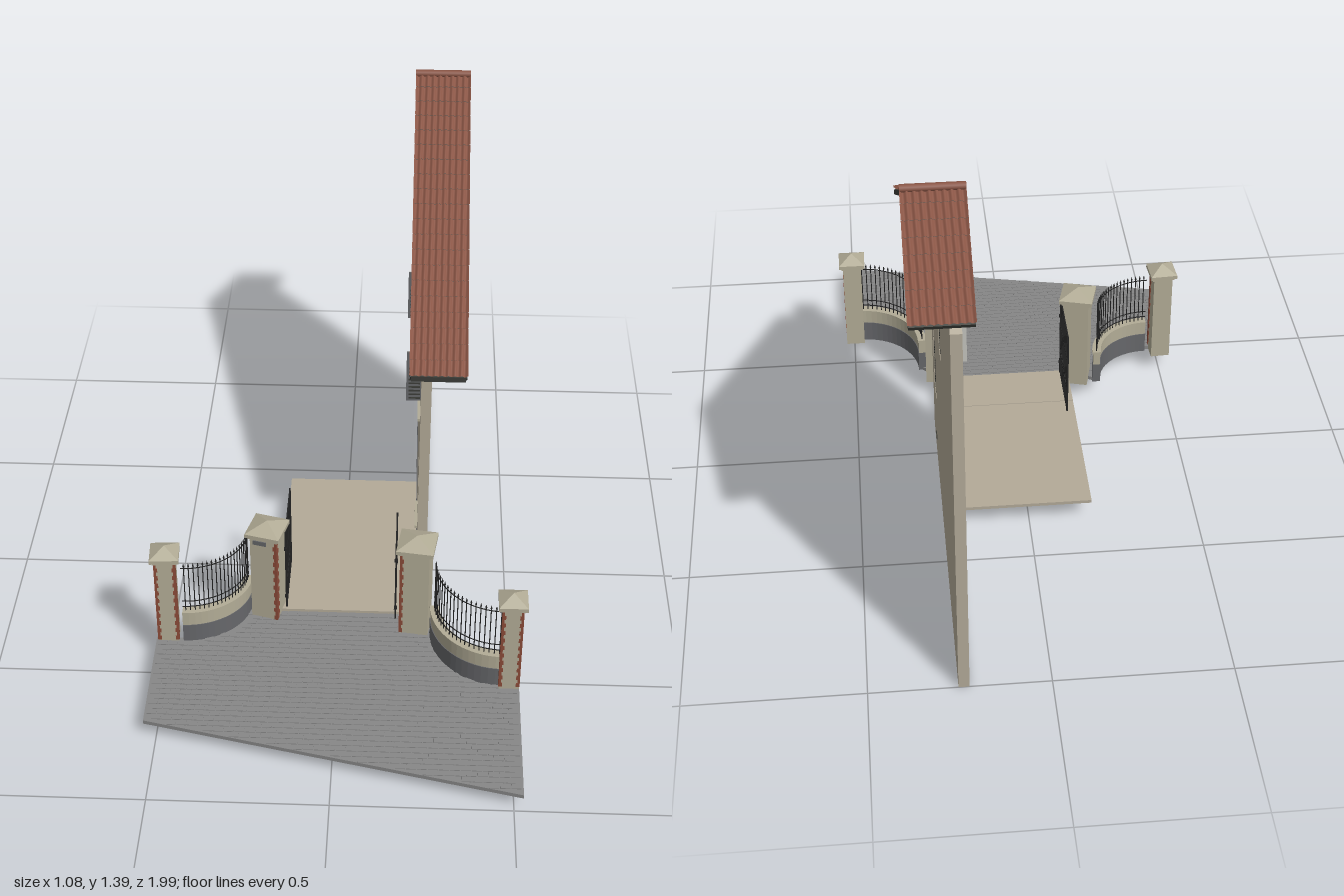
import * as THREE from 'three';
import { mergeGeometries } from 'three/addons/utils/BufferGeometryUtils.js';

const mat = (name, color, side = THREE.FrontSide) => {
  const m = new THREE.MeshStandardMaterial({ color, side });
  m.name = name;
  return m;
};

export function createModel() {
  const M = {
    wall: mat('plaster beige', 0xb3aa98),
    stone: mat('stone beige', 0xb2ac96),
    tile: mat('roof tile red', 0x8a5545, THREE.DoubleSide),
    brick: mat('brick red', 0x8a4a38),
    iron: mat('wrought iron', 0x232323),
    paving: mat('paving grey', 0x878787),
    plinth: mat('plinth grey', 0x66676a),
    shutter: mat('shutter dark', 0x3c3d38),
    wood: mat('window brown', 0x84442f),
    pale: mat('pale trim', 0xc4c4be),
  };
  const root = new THREE.Group();
  const group = (name, parent = root) => {
    const g = new THREE.Group();
    g.name = name;
    parent.add(g);
    return g;
  };
  const add = (parent, name, geo, m) => {
    const mesh = new THREE.Mesh(geo, m);
    mesh.name = name;
    parent.add(mesh);
    return mesh;
  };
  const boxGeo = (w, h, d, x, y, z) => new THREE.BoxGeometry(w, h, d).translate(x, y, z);
  const box = (p, name, m, ...a) => add(p, name, boxGeo(...a), m);
  // upright prism from a plan outline of [x, z] points
  const prism = (pts, y, h) => {
    const s = new THREE.Shape(pts.map(([x, z]) => new THREE.Vector2(x, -z)));
    return new THREE.ExtrudeGeometry(s, { depth: h, bevelEnabled: false }).rotateX(-Math.PI / 2).translate(0, y, 0);
  };

  // ---- House gable wall with window openings
  const house = group('house');
  const windows = [
    { z0: -0.01, z1: 0.08, y0: 0.64, y1: 0.82, open: true },
    { z0: -0.43, z1: -0.34, y0: 0.66, y1: 0.835, open: true },
    { z0: -0.045, z1: 0.07, y0: 0.235, y1: 0.44, open: false },
  ];
  const gable = new THREE.Shape([[0.155, 0], [0.155, 0.86], [-0.67, 1.36], [-1, 1.17], [-1, 0]]
    .map(([z, y]) => new THREE.Vector2(z, y)));
  for (const w of windows) {
    gable.holes.push(new THREE.Path([[w.z0, w.y0], [w.z0, w.y1], [w.z1, w.y1], [w.z1, w.y0]]
      .map(([z, y]) => new THREE.Vector2(z, y))));
  }
  add(house, 'gableWall', new THREE.ExtrudeGeometry(gable, { depth: 0.03, bevelEnabled: false })
    .rotateY(-Math.PI / 2).translate(0.255, 0, 0), M.wall);
  box(house, 'basePlinth', M.plinth, 0.004, 0.045, 0.9, 0.2245, 0.0625, -0.3);
  box(house, 'vent', M.shutter, 0.004, 0.008, 0.035, 0.2555, 0.086, -0.018);

  // ---- Windows: louvred shutters outside, brown frames inside
  for (const w of windows) {
    const g = group('window', house);
    const h = w.y1 - w.y0, d = w.z1 - w.z0, y = (w.y0 + w.y1) / 2, z = (w.z0 + w.z1) / 2;
    for (const s of [-1, 1]) {
      box(g, 'shutterLeaf', M.shutter, 0.005, h, d / 2 - 0.001, 0.249, y, z + s * d / 4);
      box(g, 'frameSide', M.wood, 0.01, h, 0.008, 0.236, y, z + s * (d / 2 - 0.004));
      box(g, 'frameRail', M.wood, 0.01, 0.008, d, 0.236, y + s * (h / 2 - 0.004), z);
    }
    const slats = [];
    for (let i = 0; i < 14; i++) slats.push(boxGeo(0.003, h / 30, d - 0.012, 0.252, w.y0 + (i + 0.5) * h / 14, z));
    add(g, 'shutterSlats', mergeGeometries(slats), M.shutter);
    box(g, 'closedSash', M.wood, 0.006, h, w.open ? d / 2 : d, 0.24, y, w.open ? z + d / 4 : z);
    box(g, 'windowSill', M.stone, 0.012, 0.008, d + 0.01, 0.223, w.y0 - 0.004, z);
    if (w.open) {
      // sash swung open at a right angle to the wall
      box(g, 'openSash', M.pale, 0.044, h - 0.01, 0.003, 0.204, y, w.z0 + 0.004);
      box(g, 'openSashFace', M.plinth, 0.044, h - 0.01, 0.003, 0.204, y, w.z0 + 0.007);
      for (let i = 0; i < 9; i++) box(g, 'sashSlat', M.shutter, 0.034, 0.005, 0.002, 0.206, w.y0 + 0.015 + i * 0.013, w.z0 + 0.009);
    }
  }

  // ---- Roof: dark deck with corrugated, overlapping tile courses
  const roof = group('roof');
  const X0 = 0.19, X1 = 0.355, XC = (X0 + X1) / 2, W = X1 - X0;
  const slope = (name, eave, ridge, courses) => {
    const dz = ridge[0] - eave[0], dy = ridge[1] - eave[1], len = Math.hypot(dz, dy);
    const g = group(name, roof);
    const n = [-dy / len * Math.sign(dz), Math.abs(dz) / len];
    const strips = [];
    for (let c = 0; c < courses; c++) {
      const geo = new THREE.PlaneGeometry(W, 1, 54, 1);
      const p = geo.attributes.position;
      for (let i = 0; i < p.count; i++) {
        const x = p.getX(i), up = p.getY(i) > 0 ? 1 : 0;
        const t = (c + up * 1.05) / courses;
        const lift = 0.003 * Math.cos((x / W + 0.5) * Math.PI * 18) + (up ? -0.003 : 0.003);
        p.setXYZ(i, XC + x, eave[1] + dy * t + n[1] * lift, eave[0] + dz * t + n[0] * lift);
      }
      if (dz > 0) geo.index.array.reverse();
      geo.computeVertexNormals();
      strips.push(geo);
    }
    add(g, 'tileCourses', mergeGeometries(strips), M.tile);
    const deck = box(g, 'roofDeck', M.shutter, W - 0.004, 0.014, len, 0, 0, 0);
    deck.position.set(XC, (eave[1] + ridge[1]) / 2 - n[1] * 0.014, (eave[0] + ridge[0]) / 2 - n[0] * 0.014);
    deck.rotation.x = Math.atan2(-dy, dz) + (dz < 0 ? Math.PI : 0);
  };
  slope('frontSlope', [0.19, 0.862], [-0.67, 1.383], 20);
  slope('backSlope', [-0.998, 1.198], [-0.67, 1.383], 8);
  add(roof, 'ridgeTile', new THREE.CylinderGeometry(0.011, 0.011, W, 10)
    .rotateZ(Math.PI / 2).translate(XC, 1.381, -0.672), M.tile);
  box(roof, 'eaveBoard', M.shutter, W - 0.01, 0.016, 0.008, XC, 0.85, 0.183);

  // ---- Ground: sloping cobbled forecourt and flat driveway
  const ground = group('ground');
  const arc = (cx, cz, rx, rz) => (t, off = 0) => {
    const a = t * Math.PI / 2;
    return [cx + (rx + off * Math.sign(rx)) * Math.cos(a), cz + (rz + off) * Math.sin(a)];
  };
  const leftArc = arc(-0.455, 0.25, 0.18, 0.165);
  const rightArc = arc(0.475, 0.365, -0.195, 0.2);
  const steps = [...Array(17).keys()].map(i => i / 16);
  const outline = [[-0.535, 0.755], [0.525, 0.99], [0.525, 0.57],
    ...steps.map(t => rightArc(1 - t)), [0.2, 0.29], [-0.2, 0.29],
    ...steps.map(t => leftArc(t)), [-0.535, 0.415]];
  const paveY = z => 0.069 - 0.024 * (z - 0.3);
  const drape = geo => {
    const p = geo.attributes.position;
    for (let i = 0; i < p.count; i++) p.setY(i, p.getY(i) + paveY(p.getZ(i)));
    geo.computeVertexNormals();
    return geo;
  };
  add(ground, 'forecourt', drape(prism(outline, -0.014, 0.012)), M.paving);
  const inside = (x, z) => {
    let hit = false;
    outline.forEach(([ax, az], i) => {
      const [bx, bz] = outline[(i + 1) % outline.length];
      if ((az > z) !== (bz > z) && x < ax + (z - az) / (bz - az) * (bx - ax)) hit = !hit;
    });
    return hit;
  };
  const cobbles = [];
  for (let r = 0; r < 36; r++) {
    for (let c = 0; c < 37; c++) {
      const x = -0.53 + c * 0.03 + (r % 2) * 0.015, z = 0.3 + r * 0.02;
      if ([-1, 1].every(s => inside(x + s * 0.0135, z - 0.009) && inside(x + s * 0.0135, z + 0.009)))
        cobbles.push(boxGeo(0.027, 0.003, 0.0175, x, -0.001, z));
    }
  }
  add(ground, 'cobbles', drape(mergeGeometries(cobbles)), M.paving);
  box(ground, 'driveway', M.wall, 0.41, 0.01, 0.485, 0.02, 0.07, -0.1125);
  box(ground, 'gateThreshold', M.wall, 0.41, 0.012, 0.16, 0.02, 0.071, 0.21);

  // ---- Pillars with stepped pyramid caps and brick quoins on the chosen front corners
  const pillar = (name, x, z, size, top, turn, corners) => {
    const g = group(name);
    g.position.set(x, 0, z);
    g.rotation.y = turn;
    const base = 0.055, h = top - base;
    box(g, 'shaft', M.stone, size, h, size, 0, base + h / 2, 0);
    box(g, 'capNeck', M.stone, size + 0.01, 0.008, size + 0.01, 0, top, 0);
    box(g, 'capSlab', M.stone, size + 0.024, 0.012, size + 0.024, 0, top + 0.01, 0);
    add(g, 'capPyramid', new THREE.ConeGeometry((size + 0.024) * Math.SQRT1_2, 0.024, 4, 1).toNonIndexed()
      .rotateY(Math.PI / 4).translate(0, top + 0.028, 0), M.stone).geometry.computeVertexNormals();
    const bricks = [];
    for (const s of corners) {
      for (let i = 0; i < 20; i++) {
        const w = i % 2 ? 0.007 : 0.011, d = i % 2 ? 0.02 : 0.013;
        bricks.push(boxGeo(w, h / 21, d, s * (size / 2 + 0.0015 - w / 2), base + 0.014 + (i + 0.5) * (h - 0.02) / 20, size / 2 + 0.0015 - d / 2));
      }
    }
    add(g, 'brickQuoins', mergeGeometries(bricks), M.brick);
    return g;
  };
  pillar('outerRightPillar', -0.5, 0.4, 0.06, 0.36, 0.06, [-1, 1]);
  const signPost = pillar('gateRightPillar', -0.213, 0.282, 0.08, 0.366, -0.26, [1]);
  box(signPost, 'namePlate', M.plinth, 0.04, 0.014, 0.004, -0.01, 0.35, 0.041);
  pillar('gateLeftPillar', 0.225, 0.333, 0.084, 0.366, -0.14, [-1]);
  pillar('outerLeftPillar', 0.495, 0.56, 0.058, 0.355, 0, [-1, 1]);

  // ---- Curved low walls carrying iron railings
  const fence = (name, f) => {
    const g = group(name);
    const ring = (w) => [...steps.map(t => f(t, w)), ...steps.map(t => f(1 - t, -w))];
    add(g, 'wallBase', prism(ring(0.013), 0.055, 0.068), M.plinth);
    add(g, 'wallTop', prism(ring(0.011), 0.123, 0.04), M.stone);
    add(g, 'wallCoping', prism(ring(0.014), 0.163, 0.008), M.stone);
    for (const y of [0.185, 0.205, 0.328]) {
      const path = new THREE.CatmullRomCurve3(steps.map(t => new THREE.Vector3(f(t)[0], y, f(t)[1])));
      add(g, 'rail', new THREE.TubeGeometry(path, 24, 0.002, 4), M.iron);
    }
    const bars = [];
    for (let i = 0; i < 20; i++) {
      const [x, z] = f((i + 0.7) / 20.4);
      bars.push(new THREE.CylinderGeometry(0.0016, 0.0016, 0.168, 5).translate(x, 0.254, z));
      bars.push(new THREE.ConeGeometry(0.0032, 0.012, 5).translate(x, 0.342, z));
    }
    add(g, 'railingBars', mergeGeometries(bars), M.iron);
  };
  fence('rightFence', leftArc);
  fence('leftFence', rightArc);

  // ---- Gate leaves standing open
  const gate = (name, x, z0, z1, bars) => {
    const g = group(name);
    const len = z1 - z0, zc = (z0 + z1) / 2;
    for (const z of [z0, z1]) box(g, 'gateStile', M.iron, 0.005, 0.285, 0.006, x, 0.222, z);
    for (const y of [0.085, 0.155, 0.185, 0.27, 0.36]) box(g, 'gateRail', M.iron, 0.004, 0.004, len, x, y, zc);
    for (let i = 1; i < bars; i++) box(g, 'gateBar', M.iron, 0.003, 0.28, 0.003, x, 0.222, z0 + len * i / bars);
    for (let i = 0; i < bars; i++)
      add(g, 'gateRing', new THREE.TorusGeometry(0.011, 0.0015, 4, 12).rotateY(Math.PI / 2)
        .translate(x, 0.17, z0 + len * (i + 0.5) / bars), M.iron);
    for (const y of [0.12, 0.3]) box(g, 'gateHinge', M.iron, 0.009, 0.008, 0.01, x, y, z1);
  };
  gate('rightGateLeaf', -0.16, 0.075, 0.28, 8);
  gate('leftGateLeaf', 0.165, 0.18, 0.32, 7);

  return root;
}
